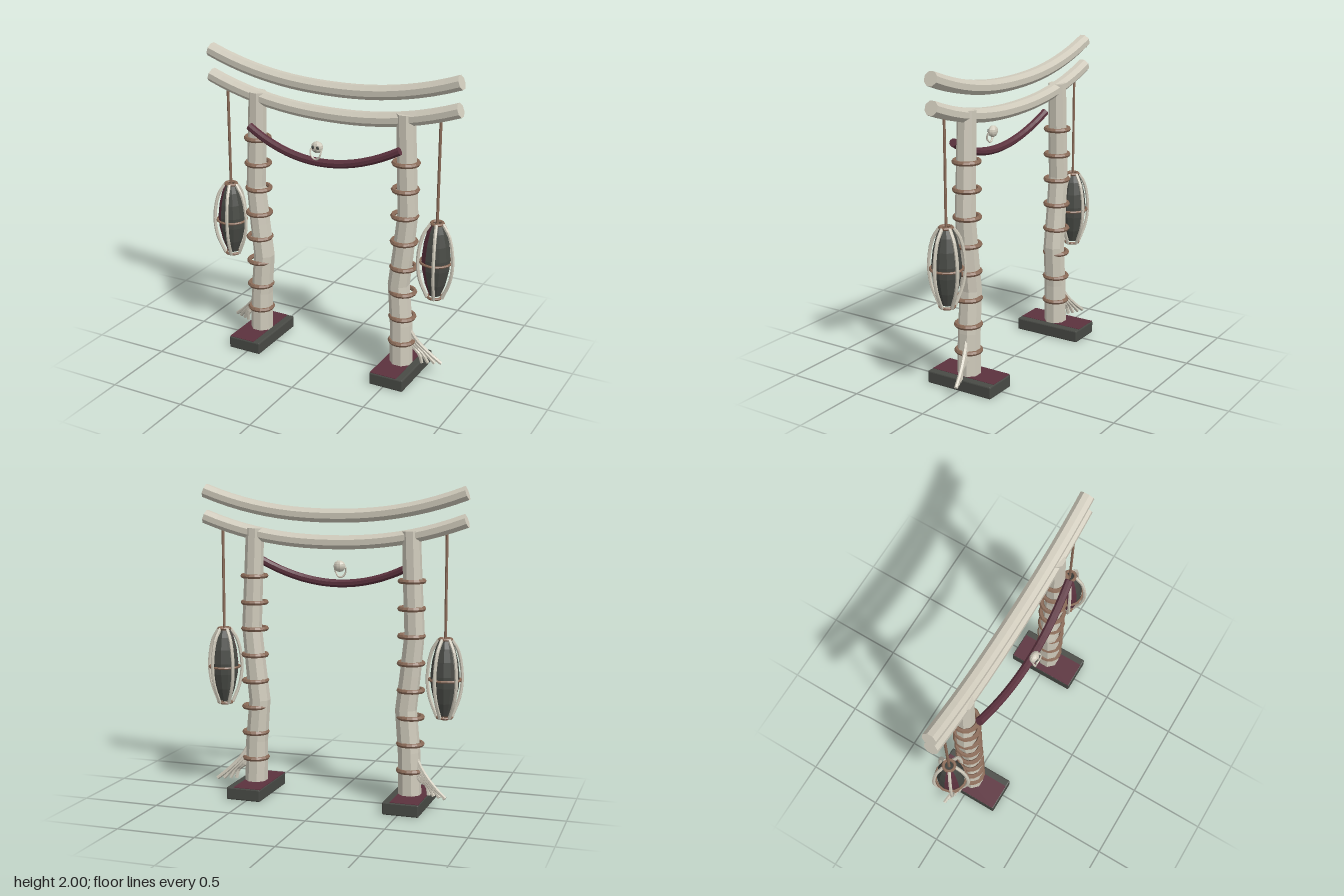
import * as THREE from 'three';
import { RoundedBoxGeometry } from 'three/addons/geometries/RoundedBoxGeometry.js';

const V = (x, y, z) => new THREE.Vector3(x, y, z);

function flat(name, color, side = THREE.FrontSide) {
  const m = new THREE.MeshStandardMaterial({ color, flatShading: true, side });
  m.name = name;
  return m;
}

function add(parent, name, geometry, material, x = 0, y = 0, z = 0) {
  const mesh = new THREE.Mesh(geometry, material);
  mesh.name = name;
  mesh.position.set(x, y, z);
  parent.add(mesh);
  return mesh;
}

// Capped polygonal sweep along points; radius(t) tapers it, ref fixes its roll.
function sweep(points, radius, sides, ref) {
  const pos = [], index = [], n = points.length;
  points.forEach((p, i) => {
    const t = points[Math.min(i + 1, n - 1)].clone().sub(points[Math.max(i - 1, 0)]).normalize();
    const b = ref.clone().addScaledVector(t, -ref.dot(t)).normalize();
    const c = t.clone().cross(b);
    const r = radius(i / (n - 1));
    for (let j = 0; j < sides; j++) {
      const a = (j + 0.5) / sides * Math.PI * 2;
      const q = p.clone().addScaledVector(b, r * Math.cos(a)).addScaledVector(c, r * Math.sin(a));
      pos.push(q.x, q.y, q.z);
    }
  });
  for (let i = 0; i < n - 1; i++) {
    for (let j = 0; j < sides; j++) {
      const k = (j + 1) % sides, a = i * sides, b = a + sides;
      index.push(a + j, a + k, b + k, a + j, b + k, b + j);
    }
  }
  const last = (n - 1) * sides;
  for (let j = 1; j < sides - 1; j++) {
    index.push(0, j + 1, j, last, last + j, last + j + 1);
  }
  const g = new THREE.BufferGeometry();
  g.setAttribute('position', new THREE.Float32BufferAttribute(pos, 3));
  g.setIndex(index);
  const out = g.toNonIndexed();
  out.computeVertexNormals();
  return out;
}

const smooth = (pts, count) => new THREE.CatmullRomCurve3(pts).getPoints(count);

export function createModel() {
  const root = new THREE.Group();
  root.name = 'gate';
  const bone = flat('bone', 0xcfcabb);
  const brown = flat('brown cord', 0x8a6b58);
  const maroon = flat('maroon', 0x5c323e, THREE.DoubleSide);
  const dark = flat('dark stone', 0x484a45, THREE.DoubleSide);

  const ring = (parent, name, R, r, mat, x, y, z = 0) => {
    const m = add(parent, name, new THREE.TorusGeometry(R, r, 6, 16), mat, x, y, z);
    m.rotation.x = Math.PI / 2;
    return m;
  };

  // Two upswept crossbeams
  for (const [name, y0] of [['upperBeam', 1.815], ['lowerBeam', 1.65]]) {
    const pts = [];
    for (let i = 0; i <= 20; i++) {
      const x = -0.855 + 1.71 * i / 20;
      pts.push(V(x, y0 + 0.147 * Math.pow(Math.abs(x) / 0.855, 2.2), 0));
    }
    add(root, name, sweep(pts, () => 0.046, 8, V(0, 0, 1)), bone);
  }

  // Crooked posts with bindings, roots and plinths
  const knots = [[0.52, 0.08], [0.513, 0.35], [0.49, 0.62], [0.515, 0.84],
    [0.54, 1.1], [0.525, 1.42], [0.513, 1.73]];
  for (const s of [1, -1]) {
    const side = new THREE.Group();
    side.name = s > 0 ? 'leftPost' : 'rightPost';
    root.add(side);
    const path = knots.map(([x, y]) => V(s * x, y, 0));
    add(side, 'post', sweep(path, t => 0.074 - 0.016 * t, 8, V(0, 0, 1)), bone);
    for (let i = 0; i < 8; i++) {
      ring(side, 'binding', 0.075, 0.015, brown, s * 0.52, 0.235 + i * 0.17);
    }

    [0.765, 0.725, 0.685, 0.65].forEach((x, i) => {
      const z = -0.075 + i * 0.015;
      const pts = smooth([V(s * 0.55, 0.34 - i * 0.03, -0.01),
        V(s * (0.58 + (x - 0.65) * 0.25), 0.24 - i * 0.015, -0.03),
        V(s * (0.5 * x + 0.31), 0.15, z * 0.75), V(s * x, 0.09, z)], 8);
      add(side, 'rootStrand', sweep(pts, t => 0.015 - 0.003 * t, 6, V(0, 0, 1)), bone);
    });

    add(side, 'plinth', new RoundedBoxGeometry(0.23, 0.08, 0.464, 1, 0.008), dark, s * 0.52, 0.04, 0);
    add(side, 'plinthTop', new THREE.BoxGeometry(0.18, 0.004, 0.452), maroon, s * 0.52 - 0.022, 0.08, 0);

    buildLantern(s);
  }

  // Hanging spindle lantern: body, maroon panel, ribs, hoops and cord
  function buildLantern(s) {
    const g = new THREE.Group();
    g.name = s > 0 ? 'leftLantern' : 'rightLantern';
    g.position.set(s * 0.735, 0, 0);
    root.add(g);
    const profile = [[0.035, 0.6], [0.065, 0.68], [0.086, 0.78], [0.09, 0.85],
      [0.08, 0.94], [0.06, 1.02], [0.038, 1.07]].map(([x, y]) => new THREE.Vector2(x, y));
    // Lathe angles run from +z towards +x
    const start = -1.45, span = Math.PI / 3;
    add(g, 'lanternPanel', new THREE.LatheGeometry(profile, 2, start, span), maroon);
    add(g, 'lanternBody', new THREE.LatheGeometry(profile, 10, start + span, Math.PI * 2 - span), dark);
    for (let k = 0; k < 5; k++) {
      const a = (75 + 72 * k) * Math.PI / 180;
      const at = (r, y) => V(r * Math.cos(a), y, r * Math.sin(a));
      const pts = smooth([at(0.038, 1.075), at(0.085, 1.0), at(0.113, 0.84),
        at(0.098, 0.71), at(0.048, 0.585)], 12);
      add(g, 'lanternRib', sweep(pts, () => 0.011, 6, V(-Math.sin(a), 0, Math.cos(a))), bone);
    }
    ring(g, 'middleHoop', 0.098, 0.008, brown, 0, 0.825);
    ring(g, 'topHoop', 0.036, 0.01, brown, 0, 1.075);
    ring(g, 'bottomHoop', 0.044, 0.009, brown, 0, 0.587);
    add(g, 'cord', new THREE.CylinderGeometry(0.009, 0.009, 0.7, 6), brown, 0, 1.41, 0);
  }

  // Sagging rope between the posts
  const rope = [];
  for (let i = 0; i <= 18; i++) {
    const x = -0.52 + 1.04 * i / 18, u = 1 - (x / 0.52) ** 2;
    rope.push(V(x, 1.525 - 0.145 * u, 0.095 + 0.033 * u));
  }
  add(root, 'rope', sweep(rope, () => 0.026, 8, V(0, 0, 1)), maroon);

  // Small skull charm above the rope
  const skull = new THREE.Group();
  skull.name = 'skull';
  skull.position.set(0, 1.487, 0.16);
  root.add(skull);
  add(skull, 'cranium', new THREE.SphereGeometry(0.04, 10, 8), bone).scale.set(1, 0.93, 0.7);
  for (const s of [1, -1]) {
    const eye = add(skull, 'eyeSocket', new THREE.SphereGeometry(0.011, 8, 6), dark, s * 0.016, 0.004, 0.024);
    eye.scale.z = 0.45;
  }
  add(skull, 'noseHole', new THREE.ConeGeometry(0.006, 0.012, 3), dark, 0, -0.014, 0.024);
  const jaw = smooth([V(-0.037, -0.008, 0.012), V(-0.034, -0.04, 0.024), V(-0.017, -0.066, 0.022),
    V(0, -0.072, 0.02), V(0.017, -0.066, 0.022), V(0.034, -0.04, 0.024), V(0.037, -0.008, 0.012)], 14);
  add(skull, 'jaw', sweep(jaw, () => 0.006, 6, V(0, 0, 1)), bone);

  return root;
}
